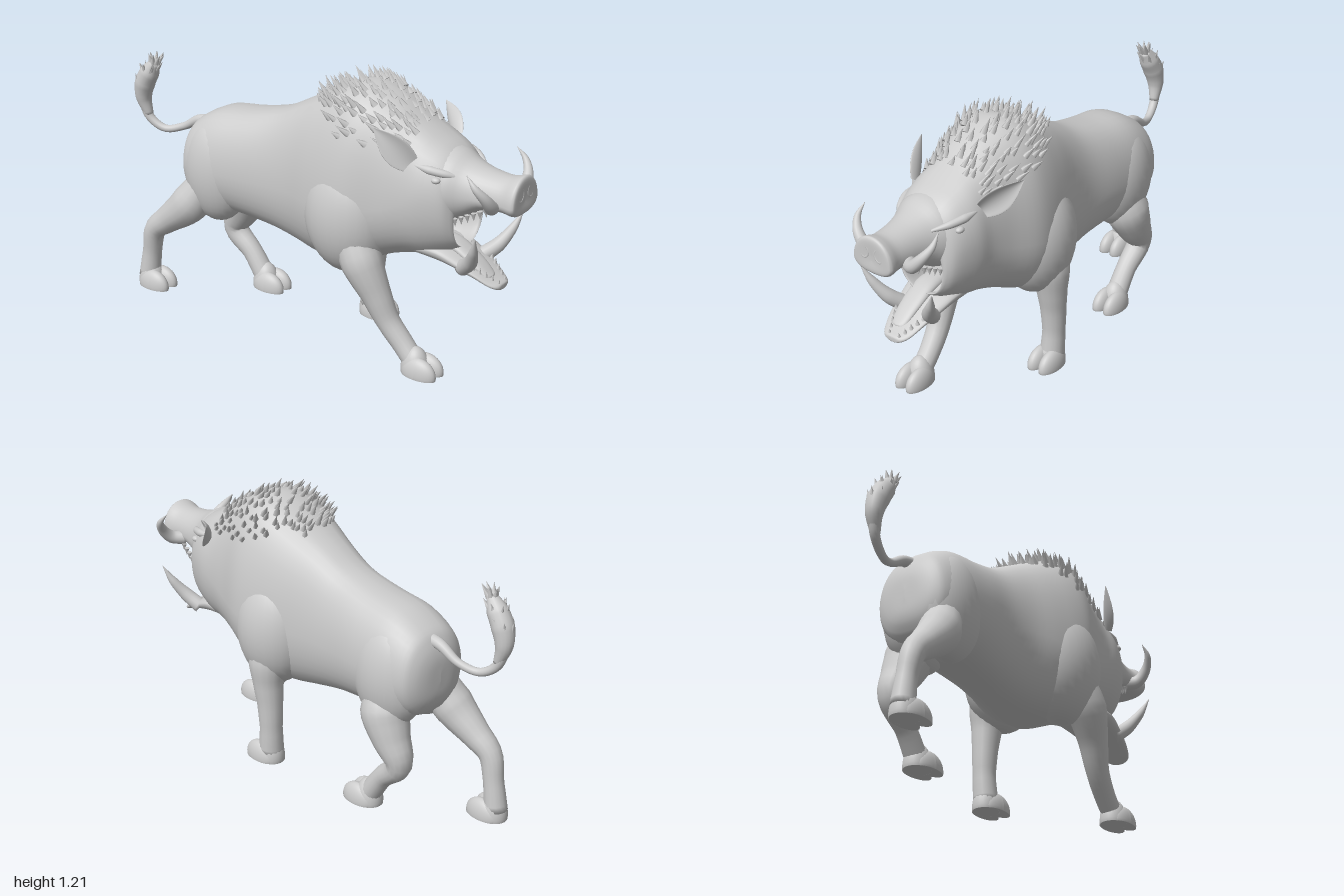
import * as THREE from 'three';
import { mergeGeometries } from 'three/addons/utils/BufferGeometryUtils.js';

const V = (x, y, z) => new THREE.Vector3(x, y, z);
const hide = new THREE.MeshStandardMaterial({ color: 0xcccccc });
const SEG = 36;

function mesh(name, geometry) {
  const m = new THREE.Mesh(geometry, hide);
  m.name = name;
  return m;
}

// Smooth skin over a list of closed rings
function skin(rings) {
  const n = rings[0].length, pos = [], idx = [];
  rings.forEach(r => r.forEach(p => pos.push(p.x, p.y, p.z)));
  for (let i = 0; i < rings.length - 1; i++)
    for (let j = 0; j < n; j++) {
      const a = i * n + j, b = i * n + (j + 1) % n;
      idx.push(a, b, a + n, b, b + n, a + n);
    }
  const g = new THREE.BufferGeometry();
  g.setAttribute('position', new THREE.Float32BufferAttribute(pos, 3));
  g.setIndex(idx);
  g.computeVertexNormals();
  return g;
}

// Sections [z, top, bottom, height of widest point, half width] -> surface point function
function surface(secs, cx = 0, topPower = 0.75) {
  const a = new THREE.CatmullRomCurve3(secs.map(s => V(s[0], s[1], s[2])), false, 'catmullrom');
  const b = new THREE.CatmullRomCurve3(secs.map(s => V(s[3], s[4], 0)), false, 'catmullrom');
  return (i, th) => {
    const t = i / (secs.length - 1), p = a.getPoint(t), q = b.getPoint(t);
    const c = Math.cos(th), s = Math.sin(th), w = Math.max(0, q.y);
    const x = Math.sign(c) * Math.abs(c) ** (s > 0 ? topPower : 0.75);
    return V(cx + w * x, q.x + s * (s > 0 ? p.y - q.x : q.x - p.z), p.x);
  };
}

function loft(secs, cx, topPower) {
  const f = surface(secs, cx, topPower), rings = [];
  for (let i = 0; i <= (secs.length - 1) * 4; i++)
    rings.push(Array.from({ length: SEG }, (_, j) => f(i / 4, j / SEG * Math.PI * 2)));
  return skin(rings);
}

// Tube through [x, y, z, radius] points, closed at both ends
function limb(pts, n = 24, seg = 16) {
  const curve = new THREE.CatmullRomCurve3(pts.map(p => V(p[0], p[1], p[2])));
  const { normals, binormals } = curve.computeFrenetFrames(n);
  const rings = [];
  const ring = (i, k) => {
    const c = curve.getPointAt(i / n), t = curve.getUtoTmapping(i / n) * (pts.length - 1);
    const a = Math.min(Math.floor(t), pts.length - 2);
    const r = k * THREE.MathUtils.lerp(pts[a][3], pts[a + 1][3], t - a);
    return Array.from({ length: seg }, (_, j) => {
      const th = j / seg * Math.PI * 2;
      return c.clone().addScaledVector(normals[i], r * Math.cos(th)).addScaledVector(binormals[i], r * Math.sin(th));
    });
  };
  rings.push(ring(0, 0));
  for (let i = 0; i <= n; i++) rings.push(ring(i, 1));
  rings.push(ring(n, 0));
  return skin(rings);
}

function ball(x, y, z, rx, ry, rz) {
  return new THREE.SphereGeometry(1, 28, 20).scale(rx, ry, rz).translate(x, y, z);
}

// Spike standing at p and pointing along dir
function spike(p, dir, r, h, seg = 6) {
  const q = new THREE.Quaternion().setFromUnitVectors(V(0, 1, 0), dir.clone().normalize());
  return new THREE.ConeGeometry(r, h, seg).translate(0, h * 0.4, 0).applyQuaternion(q).translate(p.x, p.y, p.z);
}

// Cloven foot: two toes and a heel, flat on the ground
function foot(x, z) {
  const toes = [-1, 1].map(s => ball(x + s * 0.03, 0.012, z + 0.008, 0.039, 0.072, 0.082).rotateY(0));
  const g = mergeGeometries([...toes, ball(x, 0.015, z - 0.028, 0.058, 0.1, 0.062)]);
  const p = g.attributes.position;
  for (let i = 0; i < p.count; i++) p.setY(i, Math.max(0, p.getY(i)));
  g.computeVertexNormals();
  return g;
}

// Cupped leaf shape for an ear
function ear(base, tip, facing) {
  const A = tip.clone().sub(base).normalize();
  const N = facing.clone().addScaledVector(A, -facing.dot(A)).normalize();
  const W = N.clone().cross(A), rings = [];
  for (let i = 0; i <= 14; i++) {
    const u = i / 14, w = 0.056 * Math.sin(Math.PI * (0.25 + 0.75 * u));
    const c = base.clone().lerp(tip, u);
    rings.push(Array.from({ length: 24 }, (_, j) => {
      const x = Math.cos(j / 12 * Math.PI), y = Math.sin(j / 12 * Math.PI);
      return c.clone().addScaledVector(W, w * x).addScaledVector(N, w * (0.22 * y + 0.5 * x * x));
    }));
  }
  return skin(rings);
}

const bodySections = [
  [-0.675, 0.66, 0.62, 0.64, 0], [-0.67, 0.73, 0.55, 0.64, 0.08], [-0.65, 0.79, 0.5, 0.64, 0.14],
  [-0.61, 0.84, 0.46, 0.64, 0.175], [-0.5, 0.895, 0.44, 0.64, 0.195], [-0.34, 0.92, 0.43, 0.65, 0.19],
  [-0.18, 0.96, 0.41, 0.65, 0.18], [-0.05, 1.025, 0.385, 0.66, 0.195], [0.08, 1.095, 0.365, 0.66, 0.235],
  [0.2, 1.155, 0.37, 0.66, 0.262], [0.3, 1.17, 0.4, 0.68, 0.262], [0.42, 1.125, 0.455, 0.7, 0.225],
  [0.52, 1.06, 0.485, 0.74, 0.205], [0.6, 1.015, 0.5, 0.77, 0.2], [0.68, 0.97, 0.53, 0.77, 0.175],
  // rim of the mouth, then inward to the throat
  [0.72, 0.92, 0.55, 0.74, 0.145], [0.725, 0.8, 0.56, 0.68, 0.105], [0.6, 0.76, 0.54, 0.66, 0.09], [0.5, 0.68, 0.62, 0.65, 0],
];
const snoutSections = [
  [0.55, 0.97, 0.72, 0.85, 0.12], [0.68, 0.972, 0.675, 0.82, 0.15], [0.76, 0.937, 0.705, 0.81, 0.118],
  [0.83, 0.915, 0.75, 0.81, 0.1], [0.92, 0.905, 0.762, 0.81, 0.092], [0.97, 0.917, 0.758, 0.81, 0.1],
  [0.99, 0.92, 0.762, 0.81, 0.098], [0.998, 0.9, 0.78, 0.815, 0.08], [0.995, 0.84, 0.82, 0.83, 0],
];
const jawSections = [
  [0.55, 0.58, 0.5, 0.54, 0.12], [0.66, 0.57, 0.488, 0.54, 0.12], [0.74, 0.54, 0.473, 0.51, 0.107],
  [0.82, 0.49, 0.447, 0.475, 0.088], [0.88, 0.455, 0.422, 0.44, 0.066], [0.91, 0.44, 0.413, 0.428, 0.04], [0.915, 0.43, 0.42, 0.425, 0],
];
const tongueSections = [
  [0.6, 0.6, 0.55, 0.57, 0.045], [0.7, 0.585, 0.54, 0.56, 0.05], [0.8, 0.525, 0.48, 0.505, 0.045],
  [0.86, 0.475, 0.445, 0.46, 0.032], [0.872, 0.465, 0.45, 0.457, 0],
];

export function createModel() {
  const boar = new THREE.Group();
  boar.name = 'boar';
  const add = (name, g) => boar.add(mesh(name, g));

  add('body', loft(bodySections));
  add('snout', loft(snoutSections, -0.01, 0.95));
  add('lowerJaw', loft(jawSections, -0.005));
  add('tongue', loft(tongueSections, -0.02));

  // Shoulders and thighs, mostly sunk in the body
  add('leftShoulder', ball(0.13, 0.62, 0.17, 0.163, 0.26, 0.185));
  add('rightShoulder', ball(-0.13, 0.62, 0.24, 0.163, 0.26, 0.2));
  add('leftThigh', ball(0.085, 0.62, -0.475, 0.125, 0.235, 0.178));
  add('rightThigh', ball(-0.085, 0.62, -0.5, 0.12, 0.235, 0.165));

  // Legs, mid-stride
  add('leftFrontLeg', limb([[0.17, 0.62, 0.17, 0.075], [0.195, 0.47, 0.155, 0.085], [0.2, 0.38, 0.15, 0.068], [0.2, 0.28, 0.14, 0.057], [0.2, 0.16, 0.135, 0.05], [0.195, 0.04, 0.14, 0.055]]));
  add('rightFrontLeg', limb([[-0.17, 0.62, 0.26, 0.075], [-0.19, 0.45, 0.345, 0.09], [-0.18, 0.32, 0.41, 0.065], [-0.165, 0.2, 0.465, 0.05], [-0.155, 0.11, 0.535, 0.046], [-0.155, 0.04, 0.595, 0.045]]));
  add('leftHindLeg', limb([[0.09, 0.6, -0.46, 0.07], [0.12, 0.46, -0.485, 0.105], [0.13, 0.36, -0.53, 0.083], [0.13, 0.25, -0.58, 0.055], [0.13, 0.15, -0.485, 0.045], [0.13, 0.04, -0.41, 0.048]]));
  add('rightHindLeg', limb([[-0.09, 0.6, -0.53, 0.07], [-0.135, 0.45, -0.62, 0.09], [-0.155, 0.35, -0.735, 0.063], [-0.165, 0.285, -0.81, 0.05], [-0.16, 0.17, -0.84, 0.043], [-0.16, 0.04, -0.86, 0.05]]));
  add('leftFrontFoot', foot(0.195, 0.17));
  add('rightFrontFoot', foot(-0.155, 0.625));
  add('leftHindFoot', foot(0.13, -0.38));
  add('rightHindFoot', foot(-0.16, -0.82));

  // Paired head parts
  for (const s of [-1, 1]) {
    const side = s > 0 ? 'left' : 'right';
    add(side + 'Ear', ear(V(s * 0.17, 0.925, 0.56), V(s * (s > 0 ? 0.285 : 0.25), s > 0 ? 1.035 : 1.07, 0.435), V(s * 0.7, -0.1, 0.7)));
    add(side + 'Eye', ball(s * 0.156, 0.872, 0.672, 0.016, 0.013, 0.02));
    add(side + 'Brow', limb([[s * 0.085, 0.88, 0.76, 0.006], [s * 0.128, 0.896, 0.7, 0.016], [s * 0.153, 0.908, 0.64, 0.018], [s * 0.165, 0.92, 0.57, 0.006]]));
    add(side + 'UpperTusk', limb([[s * 0.06, 0.79, 0.87, 0.03], [s * 0.115, 0.8, 0.905, 0.029], [s * 0.165, 0.85, 0.905, 0.022], [s * 0.195, 0.9, 0.875, 0.014], [s * 0.192, 0.945, 0.835, 0.001]]));
    add(side + 'LowerTusk', limb([[s * 0.075, 0.49, 0.76, 0.034], [s * 0.11, 0.54, 0.815, 0.03], [s * 0.155, 0.61, 0.855, 0.019], [s * 0.19, 0.685, 0.882, 0.001]]));
    add(side + 'Nostril', new THREE.TorusGeometry(0.019, 0.007, 10, 20).scale(1, 1.35, 1).rotateZ(s * 0.3).translate(-0.01 + s * 0.036, 0.85, 0.991));
  }

  // Teeth along both jaws
  const teeth = [];
  for (let i = 0; i < 6; i++)
    for (const s of [-1, 1]) {
      const u = i / 5, l = THREE.MathUtils.lerp;
      teeth.push(spike(V(s * l(0.078, 0.105, u), l(0.765, 0.705, u), l(0.86, 0.735, u)), V(0, -1, 0.1), 0.012, 0.034));
      teeth.push(spike(V(s * l(0.025, 0.085, u), l(0.437, 0.51, u), l(0.9, 0.785, u)), V(0, 1, 0.15), 0.01, 0.026));
    }
  add('teeth', mergeGeometries(teeth));

  // Bristles over the hump, swept backward
  let seed = 7;
  const rand = () => (seed = (seed * 16807) % 2147483647) / 2147483647;
  const at = surface(bodySections), bristles = [];
  for (let i = 0; i < 150; i++) {
    const along = 7.7 + 4.6 * ((i * 0.618034) % 1);
    const spread = 0.2 + 0.72 * Math.min(1, (along - 7.7) / 1.6);
    const th = Math.PI / 2 + (i / 149 * 2 - 1) * spread + (rand() - 0.5) * 0.12;
    const dir = V(0.8 * Math.cos(th), Math.sin(th), -0.9 + rand() * 0.4);
    bristles.push(spike(at(along, th), dir, 0.012 + rand() * 0.005, 0.035 + rand() * 0.04, 5));
  }
  add('bristles', mergeGeometries(bristles));

  // Tail with a ragged tuft
  add('tail', limb([[0, 0.79, -0.56, 0.03], [0.008, 0.79, -0.67, 0.024], [0, 0.74, -0.765, 0.017], [-0.03, 0.72, -0.85, 0.017], [-0.05, 0.765, -0.92, 0.02], [-0.06, 0.85, -0.95, 0.025]], 32));
  const tuftPath = [[-0.052, 0.78, -0.925, 0.02], [-0.06, 0.86, -0.945, 0.037], [-0.065, 0.93, -0.93, 0.047], [-0.068, 0.99, -0.895, 0.044], [-0.07, 1.04, -0.86, 0.022]];
  add('tailTuft', limb(tuftPath));
  const tufts = [];
  for (let i = 0; i < 30; i++) {
    const [x, y, z, r] = tuftPath[2 + i % 3], a = i * 2.4;
    const out = V(0.8 * Math.cos(a), 0.3 * Math.sin(a), Math.sin(a));
    tufts.push(spike(V(x, y, z).addScaledVector(out, r * 0.8), V(out.x * 0.4, 1, 0.3 + out.z * 0.6), 0.014, 0.055, 5));
  }
  add('tuftHairs', mergeGeometries(tufts));
  return boar;
}
